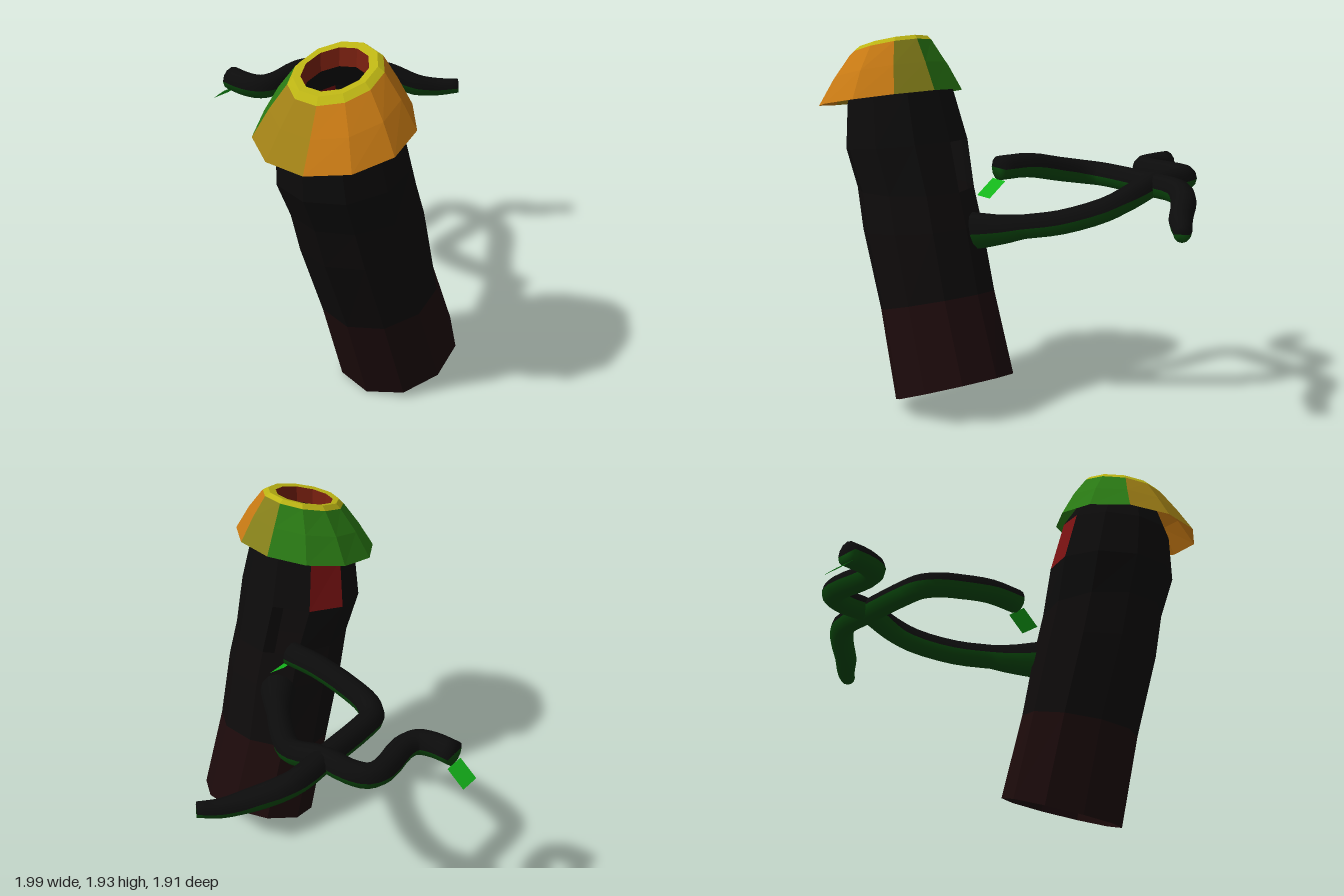
import * as THREE from 'three';

const V = (x, y, z) => new THREE.Vector3(x, y, z);

// Skin a grid of points (rows of equal length), using columns k0..k1
function skin(name, color, rows, { flat = true, k0 = 0, k1 = rows[0].length - 1, skip = () => false } = {}) {
  const pos = [], index = [], w = rows[0].length;
  rows.forEach(row => row.forEach(p => pos.push(p.x, p.y, p.z)));
  for (let i = 0; i < rows.length - 1; i++) {
    for (let k = k0; k < k1; k++) {
      if (skip(i, k)) continue;
      const a = i * w + k, b = a + w;
      index.push(a, a + 1, b + 1, a, b + 1, b);
    }
  }
  const geo = new THREE.BufferGeometry();
  geo.setAttribute('position', new THREE.Float32BufferAttribute(pos, 3));
  geo.setIndex(index);
  geo.computeVertexNormals();
  const mat = new THREE.MeshStandardMaterial({ color, flatShading: flat, side: THREE.DoubleSide });
  const mesh = new THREE.Mesh(geo, mat);
  mesh.name = name;
  return mesh;
}

// Tilted ellipse: angle runs from +x towards -z, height rises with x by slope
function ring([x, y, z, rx, rz, slope], sides, start) {
  return Array.from({ length: sides + 1 }, (_, k) => {
    const a = start + (k / sides) * Math.PI * 2, dx = rx * Math.cos(a);
    return V(x + dx, y + slope * dx, z - rz * Math.sin(a));
  });
}

// Branch along a curve, dark on top and green beneath; points are [x, y, z, radius]
function branch(name, pts) {
  const g = new THREE.Group();
  g.name = name;
  const curve = new THREE.CatmullRomCurve3(pts.map(p => V(p[0], p[1], p[2])));
  const steps = (pts.length - 1) * 3, sides = 12, rows = [];
  const section = (u, r) => {
    const c = curve.getPoint(u), t = curve.getTangent(u);
    const s = V(0, 1, 0).cross(t).normalize(), n = t.clone().cross(s);
    return Array.from({ length: sides + 1 }, (_, k) => {
      const a = (k / sides) * Math.PI * 2;
      return c.clone().addScaledVector(s, r * Math.cos(a)).addScaledVector(n, r * Math.sin(a));
    });
  };
  for (let i = 0; i <= steps; i++) {
    const f = i / 3, j = Math.min(Math.floor(f), pts.length - 2);
    rows.push(section(i / steps, THREE.MathUtils.lerp(pts[j][3], pts[j + 1][3], f - j)));
  }
  rows.unshift(section(0, 0.001));
  rows.push(section(1, 0.001));
  g.add(skin('branchTop', 0x0c0c0c, rows, { flat: false, k1: sides / 2 }));
  g.add(skin('branchUnderside', 0x0a4a0c, rows, { flat: false, k0: sides / 2 }));
  return g;
}

export function createModel() {
  const model = new THREE.Group();
  model.name = 'hollowTree';

  // Leaning hollow trunk, open at the bottom, with a knothole on one side
  const trunk = [
    [-0.14, 0.11, 0.52, 0.30, 0.32, 0.38],
    [-0.29, 0.55, 0.52, 0.29, 0.31, 0.28],
    [-0.41, 0.93, 0.53, 0.33, 0.31, 0.10],
    [-0.47, 1.13, 0.53, 0.33, 0.30, 0.04],
    [-0.55, 1.35, 0.53, 0.325, 0.325, 0.14],
    [-0.59, 1.60, 0.54, 0.285, 0.28, 0.22],
    [-0.62, 1.80, 0.56, 0.18, 0.18, 0.3],
  ].map(r => ring(r, 10, 0.21));
  const isRed = (i, k) => i === 2 && k === 1;
  model.add(skin('trunkBase', 0x1c0a0b, trunk.slice(0, 2)));
  model.add(skin('trunkMiddle', 0x0e0b0b, trunk.slice(1, 4)));
  model.add(skin('trunkTop', 0x0c0b0b, trunk.slice(3), {
    skip: (i, k) => (i === 0 && k === 0) || (i === 1 && k === 1),
  }));
  model.add(skin('redPatch', 0x7a1212, trunk.slice(4, 6), { k0: 1, k1: 2 }));

  // Flared cap, its colour turning from orange to green around the tree
  const cap = [
    [-0.635, 1.59, 0.565, 0.365, 0.39, 0.2],
    [-0.63, 1.73, 0.565, 0.29, 0.31, 0.25],
    [-0.622, 1.85, 0.565, 0.22, 0.22, 0.3],
    [-0.62, 1.875, 0.56, 0.195, 0.19, 0.3],
    [-0.62, 1.87, 0.555, 0.155, 0.155, 0.3],
    [-0.62, 1.78, 0.555, 0.15, 0.15, 0.3],
  ].map(r => ring(r, 11, 0.1));
  [[0, 4, 0x2a7a14], [4, 6, 0xa08016], [6, 10, 0xc87a14], [10, 11, 0x86801a]].forEach(([k0, k1, color]) =>
    model.add(skin('capSide', color, cap.slice(0, 3), { k0, k1 })));
  model.add(skin('capLip', 0xbcb414, cap.slice(2, 5)));
  model.add(skin('capMouth', 0x7a2010, cap.slice(4)));

  // Two crossing branches
  model.add(branch('trunkBranch', [
    [-0.22, 0.92, 0.42, 0.11], [-0.05, 0.94, 0.28, 0.08], [0.04, 0.96, 0.2, 0.065], [0.18, 0.99, 0.06, 0.065],
    [0.33, 1.06, -0.11, 0.065], [0.39, 1.12, -0.22, 0.065], [0.39, 1.17, -0.38, 0.065],
    [0.39, 1.17, -0.54, 0.065], [0.36, 1.17, -0.63, 0.065], [0.28, 1.17, -0.66, 0.065],
    [0.08, 1.17, -0.635, 0.065], [0.0, 1.17, -0.66, 0.065], [-0.035, 1.17, -0.74, 0.065],
    [-0.04, 1.17, -0.86, 0.065],
  ]));
  model.add(branch('crossBranch', [
    [-0.115, 1.25, 0.24, 0.065], [-0.115, 1.245, 0.05, 0.065], [-0.115, 1.2, -0.16, 0.065],
    [-0.09, 1.175, -0.29, 0.065], [-0.03, 1.165, -0.36, 0.065], [0.06, 1.165, -0.375, 0.065],
    [0.35, 1.165, -0.38, 0.065], [0.59, 1.16, -0.38, 0.065], [0.68, 1.13, -0.33, 0.065],
    [0.78, 1.07, -0.22, 0.06], [0.88, 1.05, -0.14, 0.05], [0.965, 1.055, -0.06, 0.04],
  ]));

  // Small sloping leaves at the branch ends
  [[-0.115, 1.19, 0.24, 1], [-0.04, 1.11, -0.86, -1]].forEach(([x, y, z, dir]) => {
    const edge = (dy, dz) => [V(x - 0.057 * dir, y + dy, z + dz * dir), V(x + 0.057 * dir, y + dy, z + dz * dir)];
    model.add(skin('leaf', 0x14b41a, [edge(-0.08, 0.1), edge(0, 0)]));
  });
  return model;
}
